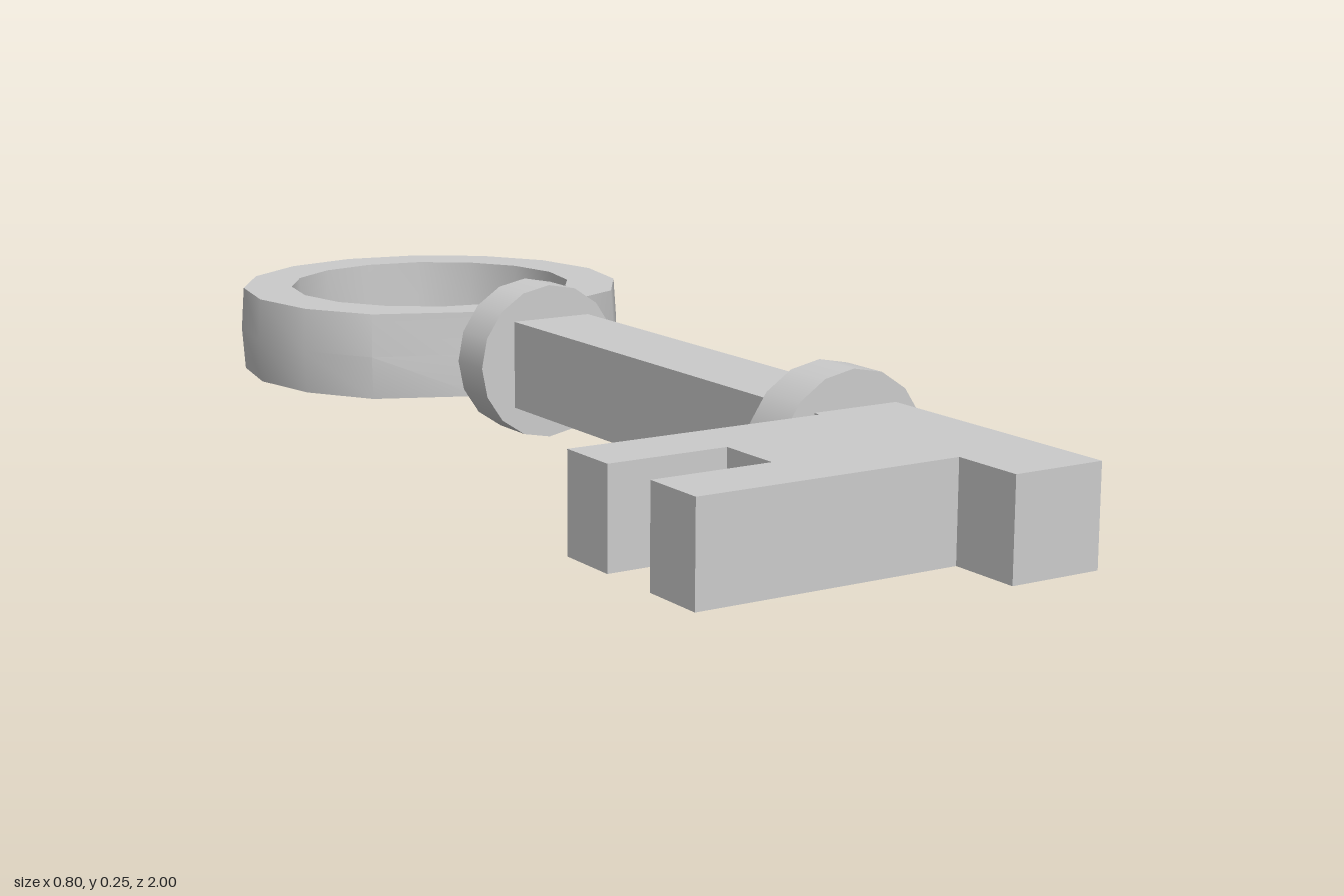
import * as THREE from 'three';
import { toCreasedNormals } from 'three/addons/utils/BufferGeometryUtils.js';

const BASE = 0.057, THICK = 0.143; // underside height and thickness of the flat body
const CX = 0.066, BOW_Z = -0.667; // bow centre
const SIDES = 16;

// Point on the bow at step i, counted from +x towards the far end (plan: x, -z)
function bowPoint(i, r) {
  const a = (i / SIDES) * Math.PI * 2;
  return new THREE.Vector2(CX + r * Math.cos(a), -BOW_Z + r * Math.sin(a));
}

export function createModel() {
  const key = new THREE.Group();
  key.name = 'key';
  const material = new THREE.MeshStandardMaterial({ color: 0xcccccc });

  // Bow, shank and notched bit share one outline
  const outline = [];
  for (let i = -2; i <= 10; i++) outline.push(bowPoint(i, 0.329));
  const shank = [
    [0, 0.362], [0, -0.587], [-0.4, -0.587], [-0.4, -0.685], [-0.219, -0.685],
    [-0.219, -0.785], [-0.4, -0.785], [-0.4, -0.885], [0, -0.885],
    [0, -0.995], [0.14, -0.995], [0.14, 0.362],
  ];
  for (const [x, y] of shank) outline.push(new THREE.Vector2(x, y));
  const shape = new THREE.Shape(outline);

  // Finger opening in the bow
  const hole = [];
  for (let i = SIDES; i > 0; i--) hole.push(bowPoint(i, 0.245));
  shape.holes.push(new THREE.Path(hole));

  const geometry = new THREE.ExtrudeGeometry(shape, { depth: THICK, steps: 2, bevelEnabled: false });

  // Slight bulge around the middle of the bow's outer wall
  const p = geometry.attributes.position;
  for (let i = 0; i < p.count; i++) {
    const dx = p.getX(i) - CX, dy = p.getY(i) + BOW_Z;
    const r = Math.hypot(dx, dy);
    const middle = Math.abs(p.getZ(i) - THICK / 2) < 0.01;
    if (middle && r > 0.3 && p.getY(i) > 0.4) {
      p.setXY(i, CX + dx * 0.334 / r, -BOW_Z + dy * 0.334 / r);
    }
  }
  geometry.rotateX(-Math.PI / 2);
  const body = new THREE.Mesh(toCreasedNormals(geometry, 0.6), material);
  body.name = 'bowShankAndBit';
  body.position.y = BASE;
  key.add(body);

  // Two round collars on the shank
  const disc = new THREE.CylinderGeometry(0.127, 0.127, 0.08, SIDES).rotateX(Math.PI / 2);
  for (const [name, z] of [['bowCollar', -0.291], ['bitCollar', 0.535]]) {
    const collar = new THREE.Mesh(disc, material);
    collar.name = name;
    collar.position.set(CX, 0.128, z);
    key.add(collar);
  }
  return key;
}
